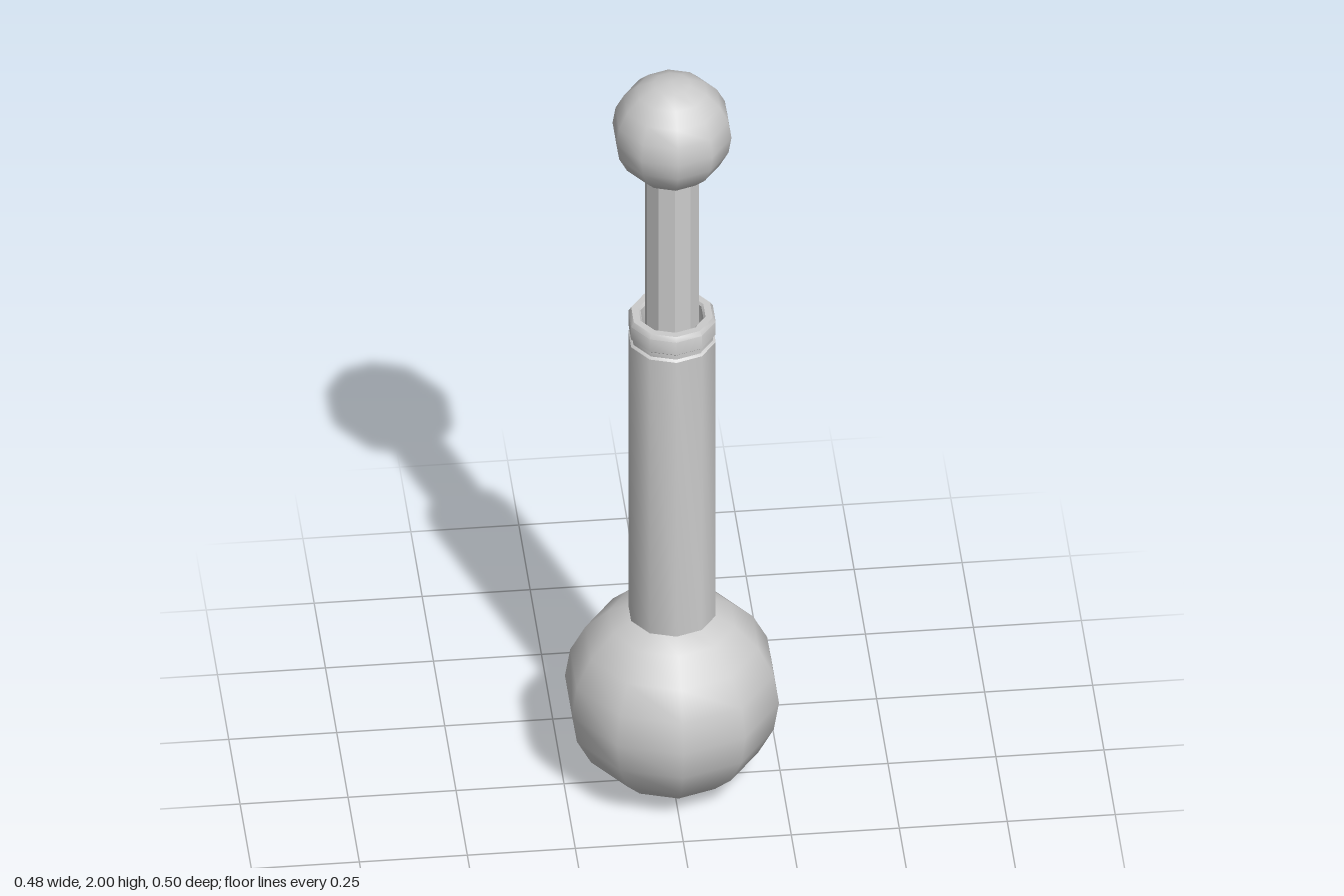
import * as THREE from 'three';
import { toCreasedNormals } from 'three/addons/utils/BufferGeometryUtils.js';

const SIDES = 10;
const smooth = new THREE.MeshStandardMaterial({ color: 0xcccccc });
const faceted = new THREE.MeshStandardMaterial({ color: 0xcccccc, flatShading: true });

function add(group, name, geometry, material, y = 0) {
  const mesh = new THREE.Mesh(geometry, material);
  mesh.name = name;
  mesh.position.y = y;
  group.add(mesh);
}

// Ten-sided ball with a corner pointing to the front
function ball(radius) {
  return new THREE.SphereGeometry(radius, SIDES, 10).rotateY(Math.PI / 2);
}

// Smooth turned surface through [radius, height] points, sharp between bands
function turned(points) {
  const profile = points.map(([r, y]) => new THREE.Vector2(r, y));
  return toCreasedNormals(new THREE.LatheGeometry(profile, SIDES), 0.66);
}

export function createModel() {
  const group = new THREE.Group();
  group.name = 'ballEndedPlunger';

  // Large ball at the foot and small ball at the tip
  add(group, 'baseBall', ball(0.252), smooth, 0.252);
  add(group, 'topBall', ball(0.14), smooth, 1.86);

  // Outer sleeve with a shallow groove below a bevelled, hollow collar
  add(group, 'sleeve', turned([
    [0, 0.48], [0.103, 0.48], [0.103, 1.267], [0.097, 1.272], [0.097, 1.284],
    [0.103, 1.289], [0.103, 1.325], [0.096, 1.336], [0.079, 1.336],
    [0.074, 1.33], [0.074, 1.28], [0, 1.28],
  ]), smooth);

  // Faceted inner rod running from the sleeve into the top ball
  add(group, 'rod', new THREE.CylinderGeometry(0.063, 0.063, 0.47, SIDES), faceted, 1.505);

  return group;
}
